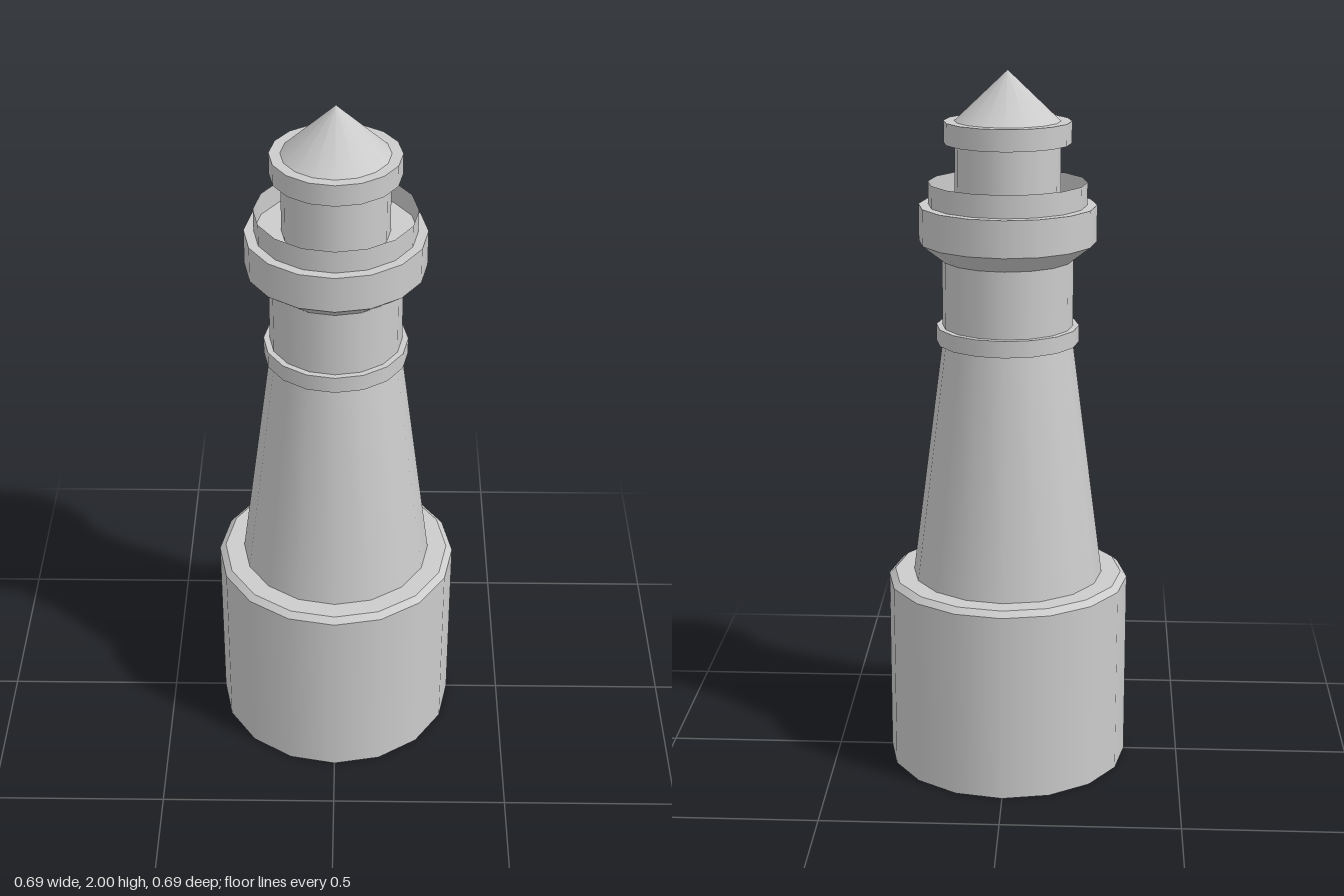
import * as THREE from 'three';
import { mergeGeometries } from 'three/addons/utils/BufferGeometryUtils.js';

const SIDES = 16;
const solid = new THREE.MeshStandardMaterial({ color: 0xcccccc });
const open = new THREE.MeshStandardMaterial({ color: 0xcccccc, side: THREE.DoubleSide });

// Revolves a [radius, height] profile, listed bottom to top; smooth around, sharp between bands
function turned(name, profile, material = solid) {
  const bands = [];
  for (let i = 0; i < profile.length - 1; i++) {
    const pair = [profile[i], profile[i + 1]].map(([r, y]) => new THREE.Vector2(r, y));
    bands.push(new THREE.LatheGeometry(pair, SIDES));
  }
  const mesh = new THREE.Mesh(mergeGeometries(bands), material);
  mesh.name = name;
  return mesh;
}

export function createModel() {
  const group = new THREE.Group();
  group.name = 'lighthouse';
  group.add(
    // Hollow drum, open underneath, with a chamfered rim and flat deck
    turned('base', [[0.345, 0], [0.345, 0.545], [0.327, 0.56], [0.272, 0.56]], open),
    // Tapering shaft
    turned('tower', [[0.272, 0.56], [0.183, 1.245]]),
    // Raised band between shaft and neck
    turned('collar', [[0.183, 1.245], [0.2, 1.245], [0.2, 1.292], [0.183, 1.292]]),
    turned('neck', [[0.183, 1.292], [0.183, 1.48]]),
    // Walkway flaring out from the neck
    turned('gallery', [[0.183, 1.48], [0.247, 1.53], [0.247, 1.632], [0.146, 1.632]]),
    // Thin parapet around the walkway
    turned('railing', [[0.22, 1.632], [0.22, 1.695]], open),
    turned('lantern', [[0.146, 1.632], [0.146, 1.802]]),
    // Eave ring below the roof
    turned('eave', [[0.146, 1.802], [0.176, 1.802], [0.176, 1.862], [0.146, 1.862]]),
    turned('roof', [[0.146, 1.862], [0, 2]])
  );
  return group;
}
